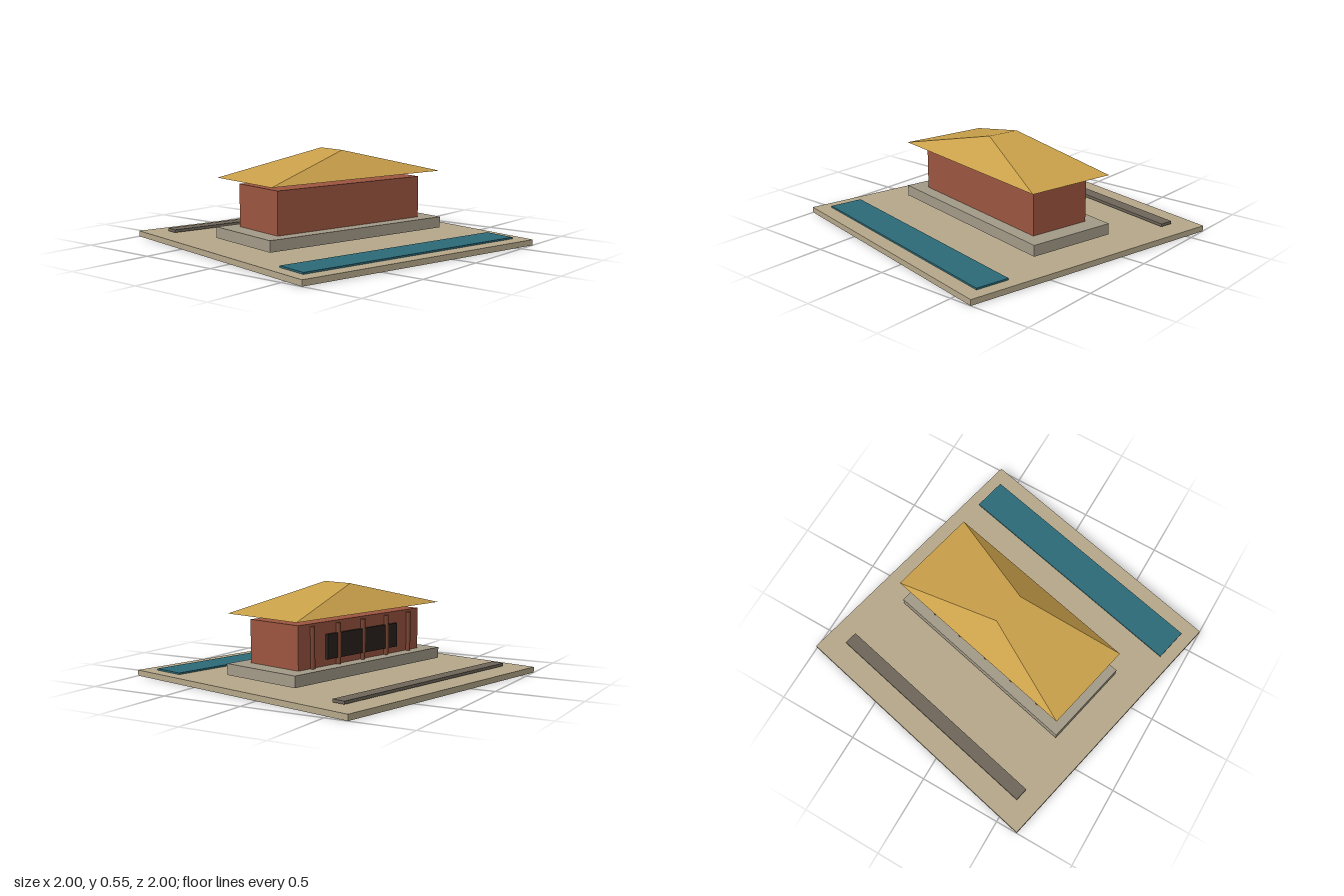
import * as THREE from 'three';

const mat = (color, extra = {}) => new THREE.MeshStandardMaterial({ color, ...extra });

// Box given by its extents along each axis
function slab(name, material, [x0, x1], [y0, y1], [z0, z1]) {
  const mesh = new THREE.Mesh(new THREE.BoxGeometry(x1 - x0, y1 - y0, z1 - z0), material);
  mesh.position.set((x0 + x1) / 2, (y0 + y1) / 2, (z0 + z1) / 2);
  mesh.name = name;
  return mesh;
}

// Open hip roof whose short ridge runs front to back
function hipRoofGeometry(halfW, halfD, halfRidge, eaveY, ridgeY) {
  const backLeft = [-halfW, eaveY, -halfD], backRight = [halfW, eaveY, -halfD];
  const frontRight = [halfW, eaveY, halfD], frontLeft = [-halfW, eaveY, halfD];
  const ridgeBack = [0, ridgeY, -halfRidge], ridgeFront = [0, ridgeY, halfRidge];
  const triangles = [
    [frontLeft, frontRight, ridgeFront],
    [backRight, backLeft, ridgeBack],
    [backLeft, frontLeft, ridgeBack], [frontLeft, ridgeFront, ridgeBack],
    [frontRight, backRight, ridgeFront], [backRight, ridgeBack, ridgeFront],
  ];
  const geometry = new THREE.BufferGeometry();
  geometry.setAttribute('position', new THREE.Float32BufferAttribute(triangles.flat(2), 3));
  geometry.computeVertexNormals();
  return geometry;
}

export function createModel() {
  const model = new THREE.Group();
  model.name = 'pavilion';

  // The whole site is turned slightly about the vertical
  const site = new THREE.Group();
  site.name = 'site';
  site.rotation.y = -0.22;
  model.add(site);

  // Ground, pool and rear path
  site.add(
    slab('ground', mat(0xb5a78a), [-0.8375, 0.8375], [0, 0.034], [-0.8375, 0.8375]),
    slab('pool', mat(0x2c6a78), [-0.763, 0.763], [0.034, 0.044], [0.545, 0.748]),
    slab('path', mat(0x6e665a), [-0.712, 0.712], [0.04, 0.057], [-0.7, -0.619]),
  );

  // Plinth and hall
  site.add(
    slab('plinth', mat(0xa39a88), [-0.633, 0.633], [0.05, 0.116], [-0.272, 0.272]),
    slab('walls', mat(0x9c5540), [-0.524, 0.524], [0.116, 0.367], [-0.19, 0.19]),
    slab('window', mat(0x2a211d), [-0.305, 0.305], [0.154, 0.297], [-0.207, -0.18]),
  );

  // Row of columns along the back
  const columnGeometry = new THREE.CylinderGeometry(0.014, 0.014, 0.237, 12);
  const columnMaterial = mat(0x7a4430);
  for (let i = -2; i <= 2; i++) {
    const column = new THREE.Mesh(columnGeometry, columnMaterial);
    column.name = 'column';
    column.position.set(i * 0.21, 0.2345, -0.2);
    site.add(column);
  }

  // Roof
  const roof = new THREE.Mesh(
    hipRoofGeometry(0.62, 0.273, 0.1, 0.402, 0.553),
    mat(0xc9a04a, { side: THREE.DoubleSide }),
  );
  roof.name = 'roof';
  site.add(roof);

  return model;
}
